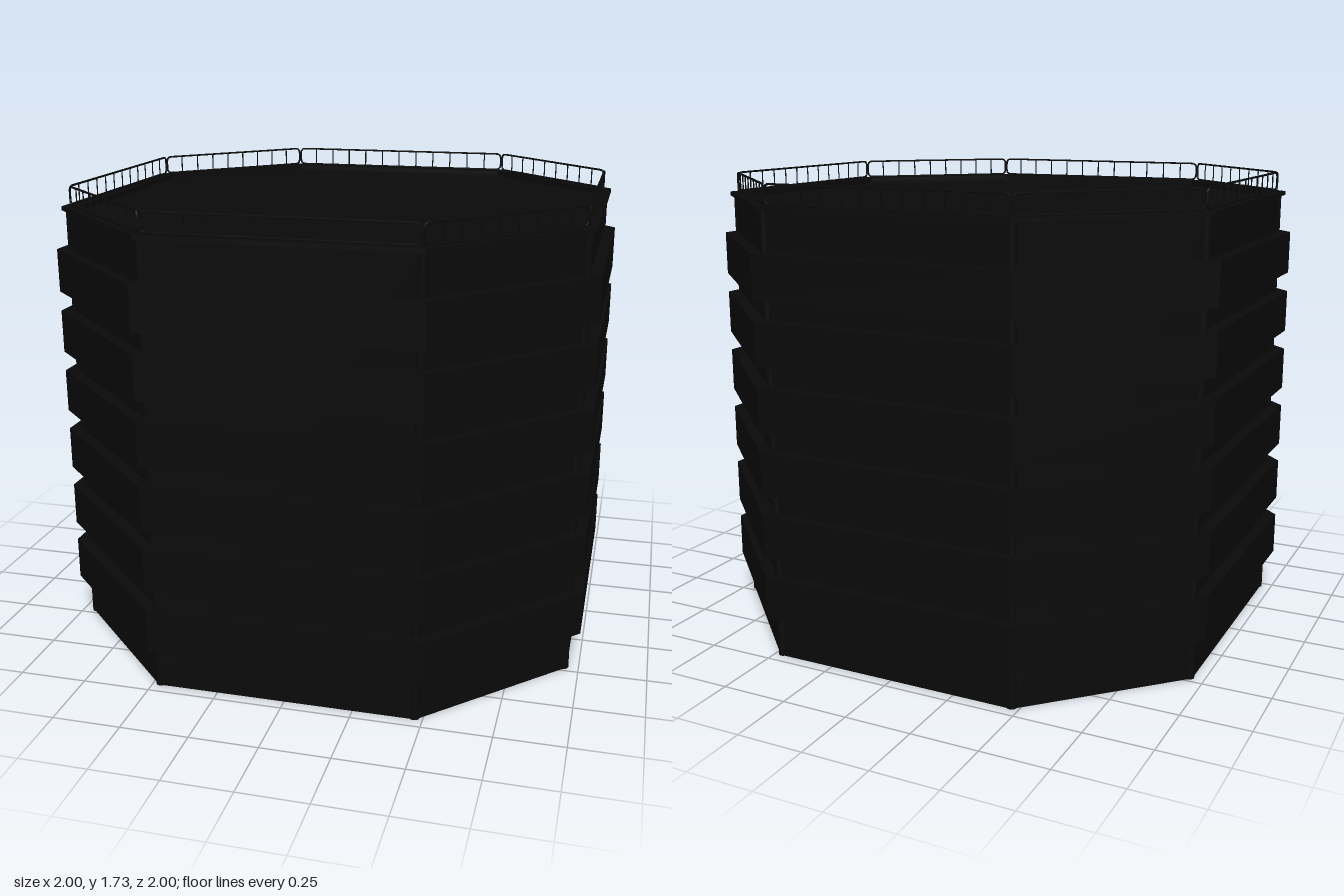
import * as THREE from 'three';

// Centre line of the octagonal plan, starting and ending at one corner
const A = 0.945, B = 0.47;
const corners = [[-A, -B], [-B, -A], [B, -A], [A, -B], [A, B], [B, A], [-B, A], [-A, B]]
  .map(([x, z]) => new THREE.Vector2(x, z));
const path = [...corners, corners[0]];
const normals = corners.map((p, i) => {
  const d = path[i + 1].clone().sub(p).normalize();
  return new THREE.Vector2(d.y, -d.x);
});

// Offset direction at each path point: mitred inside, square at the two open ends
const offsets = path.map((p, i) => {
  if (i === 0) return normals[0];
  if (i === 8) return normals[7];
  const sum = normals[i - 1].clone().add(normals[i]);
  return sum.multiplyScalar(2 / sum.lengthSq());
});

// Rectangular section swept around the path
function sweepGeometry(half, y0, y1) {
  const section = [[half, y0], [half, y1], [-half, y1], [-half, y0]];
  const rings = path.map((p, i) => section.map(([o, y]) =>
    [p.x + offsets[i].x * o, y, p.y + offsets[i].y * o]));
  const pos = [];
  const quad = (a, b, c, d) => [a, b, c, a, c, d].forEach((v) => pos.push(...v));
  for (let i = 0; i < 8; i++) {
    for (let c = 0; c < 4; c++) {
      const n = (c + 1) % 4;
      quad(rings[i + 1][c], rings[i][c], rings[i][n], rings[i + 1][n]);
    }
  }
  quad(...[...rings[0]].reverse());
  quad(...rings[8]);
  const geo = new THREE.BufferGeometry();
  geo.setAttribute('position', new THREE.Float32BufferAttribute(pos, 3));
  geo.computeVertexNormals();
  return geo;
}

// Rounded rectangular loop of pipe, lying in the xy plane
function railLoop(width, y0, y1, r) {
  const w = width / 2, curve = new THREE.CurvePath();
  const v = (x, y) => new THREE.Vector3(x, y, 0);
  const line = (a, b) => curve.add(new THREE.LineCurve3(a, b));
  const bend = (a, b, c) => curve.add(new THREE.QuadraticBezierCurve3(a, b, c));
  line(v(-w + r, y0), v(w - r, y0));
  bend(v(w - r, y0), v(w, y0), v(w, y0 + r));
  line(v(w, y0 + r), v(w, y1 - r));
  bend(v(w, y1 - r), v(w, y1), v(w - r, y1));
  line(v(w - r, y1), v(-w + r, y1));
  bend(v(-w + r, y1), v(-w, y1), v(-w, y1 - r));
  line(v(-w, y1 - r), v(-w, y0 + r));
  bend(v(-w, y0 + r), v(-w, y0), v(-w + r, y0));
  return new THREE.TubeGeometry(curve, 160, 0.004, 6, true);
}

export function createModel() {
  const model = new THREE.Group();
  const dark = new THREE.MeshStandardMaterial({ color: 0x0a0a0a });
  const add = (parent, name, geo) => {
    const mesh = new THREE.Mesh(geo, dark);
    mesh.name = name;
    parent.add(mesh);
    return mesh;
  };

  // Thin outer wall, open underneath
  add(model, 'wall', sweepGeometry(0.012, 0, 1.65));

  // Six projecting bands
  for (let i = 0; i < 6; i++) {
    const y = 0.157 + i * 0.2355;
    add(model, 'band', sweepGeometry(0.055, y, y + 0.161));
  }

  // Roof edge and slightly recessed roof slab
  add(model, 'roofEdge', sweepGeometry(0.03, 1.64, 1.655));
  const slab = new THREE.ExtrudeGeometry(new THREE.Shape(corners), { depth: 0.025, bevelEnabled: false });
  slab.rotateX(-Math.PI / 2).translate(0, 1.605, 0);
  add(model, 'roof', slab);

  // Corner columns
  const column = new THREE.CylinderGeometry(0.018, 0.018, 1.65, 12).translate(0, 0.825, 0);
  corners.forEach((p) => add(model, 'cornerColumn', column).position.set(p.x, 0, p.y));

  // One railing panel per side: pipe loop with evenly spaced balusters
  const baluster = new THREE.CylinderGeometry(0.0025, 0.0025, 0.07, 6);
  corners.forEach((p, i) => {
    const q = path[i + 1], length = p.distanceTo(q);
    const panel = new THREE.Group();
    panel.name = 'railing';
    panel.position.set((p.x + q.x) / 2, 0, (p.y + q.y) / 2);
    panel.rotation.y = Math.atan2(normals[i].x, normals[i].y);
    add(panel, 'railLoop', railLoop(length - 0.008, 1.659, 1.728, 0.02));
    const count = Math.round(length / 0.077);
    for (let k = 1; k < count; k++) {
      add(panel, 'baluster', baluster).position.set((k / count - 0.5) * length, 1.693, 0);
    }
    model.add(panel);
  });

  return model;
}
